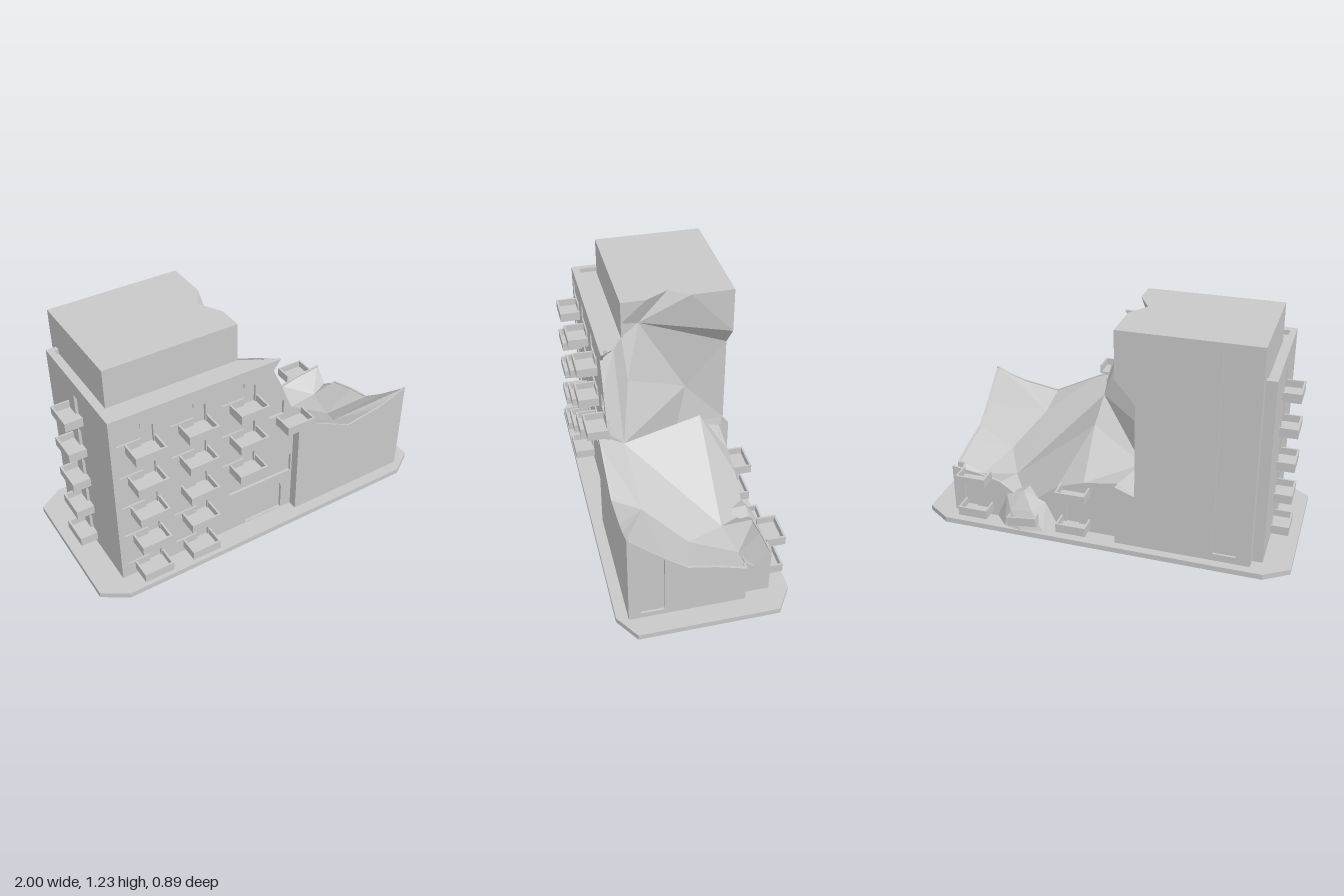
import * as THREE from 'three';

const grey = new THREE.MeshStandardMaterial({ color: 0xc8c8c8, side: THREE.DoubleSide });
grey.name = 'concreteGrey';

const ROWS = [0.06, 0.255, 0.445, 0.64, 0.835];

function toPath(points, Type) {
  return new Type(points.map(([x, y]) => new THREE.Vector2(x, y)));
}

const rect = (x0, x1, y0, y1) => [[x0, y0], [x1, y0], [x1, y1], [x0, y1]];

export function createModel() {
  const model = new THREE.Group();

  function add(name, geometry, parent = model) {
    const mesh = new THREE.Mesh(geometry, grey);
    mesh.name = name;
    parent.add(mesh);
  }

  function box(name, x0, x1, y0, y1, z0, z1, parent = model) {
    const g = new THREE.BoxGeometry(x1 - x0, y1 - y0, z1 - z0);
    g.translate((x0 + x1) / 2, (y0 + y1) / 2, (z0 + z1) / 2);
    add(name, g, parent);
  }

  // Wall with sunken openings; local +z is the outside, turned about y and set on its plane
  function wall(name, outline, openings, depth, turn, x, z) {
    const group = new THREE.Group();
    group.name = name;
    const shape = toPath(outline, THREE.Shape);
    shape.holes = openings.map((o) => toPath(o, THREE.Path));
    const g = new THREE.ExtrudeGeometry(shape, { depth, bevelEnabled: false });
    g.translate(0, 0, -depth);
    add(name + 'Face', g, group);
    if (openings.length) {
      const back = new THREE.ShapeGeometry(toPath(outline, THREE.Shape));
      back.translate(0, 0, -depth);
      add(name + 'Recess', back, group);
    }
    group.rotation.y = turn;
    group.position.set(x, 0, z);
    model.add(group);
  }

  // Open-topped balcony tray, 0.165 wide, projecting along local +z
  function balcony(name, x, y, z, turn, reach = 0.1) {
    const g = new THREE.Group();
    g.name = name;
    box('floor', -0.082, 0.082, 0, 0.012, 0, reach, g);
    box('frontRail', -0.082, 0.082, 0.012, 0.05, reach - 0.01, reach, g);
    for (const s of [-1, 1]) {
      box('sideRail', s * 0.077 - 0.005, s * 0.077 + 0.005, 0.012, 0.05, 0, reach - 0.01, g);
    }
    g.position.set(x, y, z);
    g.rotation.y = turn;
    model.add(g);
    return g;
  }

  // Facets between named points
  function facets(name, P, list) {
    const pos = list.split(',').flatMap((f) => f.trim().split(' ').flatMap((k) => P[k]));
    const g = new THREE.BufferGeometry();
    g.setAttribute('position', new THREE.Float32BufferAttribute(pos, 3));
    g.computeVertexNormals();
    add(name, g);
  }

  // Ground slab with cut corners
  const slab = new THREE.ExtrudeGeometry(toPath([
    [-1, -0.36], [-0.87, -0.445], [0.87, -0.445], [1, -0.36],
    [1, 0.36], [0.87, 0.445], [-0.87, 0.445], [-1, 0.36]], THREE.Shape),
  { depth: 0.03, bevelEnabled: false });
  slab.rotateX(-Math.PI / 2);
  add('groundSlab', slab);

  // Front windows with deeper balcony doors, and their balconies
  const openings = [];
  [[-0.82, 0], [-0.54, 0], [-0.255, 2]].forEach(([x, first], col) => {
    ROWS.slice(first).forEach((y, i) => {
      const d0 = x + 0.125, d1 = x + 0.19;
      if (col === 1 && i === 2) openings.push(rect(d0, d1, y + 0.01, y + 0.115));
      else {
        openings.push([[x, y + 0.055], [d0, y + 0.055], [d0, y + 0.01], [d1, y + 0.01],
          [d1, y + 0.115], [d0, y + 0.115], [d0, y + 0.145], [x, y + 0.145]]);
        box('windowPane', x, d0, y + 0.055, y + 0.145, 0.32, 0.327);
      }
      balcony('frontBalcony', x + 0.122, y, 0.335, 0, 0.11);
    });
  });
  openings.push(rect(0.025, 0.11, 0.695, 0.785));
  balcony('frontBalcony', 0.148, 0.64, 0.335, 0, 0.11);

  // Sunken sign band and arched entrance
  openings.push(rect(-0.215, 0.17, 0.28, 0.395));
  const arch = [[-0.115, 0.035], [0.115, 0.035]];
  for (let i = 0; i <= 8; i++) {
    const a = (i / 8) * Math.PI;
    arch.push([0.115 * Math.cos(a), 0.185 + 0.065 * Math.sin(a)]);
  }
  openings.push(arch);
  wall('frontWall', [[-0.855, 0.03], [0.18, 0.03], [0.18, 0.63], [0.16, 0.7], [0.1, 0.86],
    [0.04, 0.99], [0.08, 1.045], [-0.855, 1.045]], openings, 0.015, 0, 0, 0.335);

  // Left end wall with its column of doors and balconies
  wall('endWall', rect(-0.345, 0.335, 0.03, 1.045),
    ROWS.map((y) => rect(-0.04, 0.035, y + 0.01, y + 0.13)), 0.015, -Math.PI / 2, -0.855, 0);
  ROWS.forEach((y) => balcony('endBalcony', -0.85, y, -0.035, -Math.PI / 2));
  box('endReturn', -0.85, -0.8, 0.03, 1.045, -0.345, -0.315);

  // Roof and parapet
  const roof = new THREE.ShapeGeometry(toPath([[-0.85, -0.33], [0.06, -0.33], [0.02, -0.26],
    [-0.085, -0.2], [-0.8, -0.2], [-0.8, 0.345], [-0.85, 0.345]], THREE.Shape));
  roof.rotateX(-Math.PI / 2);
  roof.translate(0, 1.02, 0);
  add('roof', roof);
  box('frontParapet', -0.85, 0.04, 1.015, 1.045, 0.295, 0.33);
  box('endParapet', -0.85, -0.822, 1.015, 1.045, -0.345, 0.3);

  // Tall stair core
  wall('coreBack', [[0.085, 0.03], [0.8, 0.03], [0.8, 1.23], [0.085, 1.23], [0.085, 0.98],
    [0.19, 0.85], [0.19, 0.33], [0.085, 0.37]],
  [rect(0.605, 0.725, 0.07, 1.18)], 0.012, Math.PI, 0, -0.4);
  box('coreSide', -0.8, -0.79, 0.03, 1.23, -0.4, 0.2);
  box('coreFront', -0.8, -0.085, 1, 1.23, 0.19, 0.2);
  const lid = new THREE.ShapeGeometry(toPath([[-0.8, -0.2], [-0.085, -0.2], [-0.085, -0.065],
    [-0.155, 0.06], [-0.085, 0.17], [-0.085, 0.4], [-0.8, 0.4]], THREE.Shape));
  lid.rotateX(-Math.PI / 2);
  lid.translate(0, 1.23, 0);
  add('coreTop', lid);

  // Wing walls with broken tops
  wall('wingFront', [[0.18, 0.03], [0.895, 0.03], [0.895, 0.575], [0.8, 0.535], [0.72, 0.51],
    [0.51, 0.475], [0.25, 0.605], [0.18, 0.63]], [], 0.01, 0, 0, 0.385);
  box('wingReturn', 0.18, 0.19, 0.03, 0.62, 0.325, 0.38);
  wall('wingSide', [[-0.385, 0.03], [0.21, 0.03], [0.21, 0.245], [0.05, 0.295], [-0.09, 0.325],
    [-0.2, 0.41], [-0.385, 0.575]],
  [[[-0.325, 0.06], [-0.205, 0.06], [-0.205, 0.405], [-0.325, 0.51]]], 0.012, Math.PI / 2, 0.895, 0);
  box('wingStep', 0.855, 0.89, 0.03, 0.245, -0.21, -0.2);
  wall('wingSideBack', [[0.21, 0.03], [0.345, 0.03], [0.345, 0.3], [0.26, 0.21], [0.21, 0.245]],
    [], 0.01, Math.PI / 2, 0.855, 0);
  wall('wingBack', [[-0.855, 0.03], [0.085, 0.03], [0.085, 0.36], [-0.1, 0.33], [-0.25, 0.28],
    [-0.42, 0.14], [-0.58, 0.25], [-0.7, 0.28], [-0.855, 0.3]],
  [rect(-0.79, -0.72, 0.07, 0.2), rect(-0.2, -0.13, 0.07, 0.2)], 0.012, Math.PI, 0, -0.345);
  for (const x of [0.148, 0.708]) {
    for (const y of [0.06, 0.255]) balcony('backBalcony', x, y, -0.34, Math.PI);
  }

  // Torn faces of the tower, and the collapsed floor of the wing with its ridge and valley
  const P = {
    A: [0.09, 0.59, -0.18], B: [0.55, 0.21, -0.18], C: [0.18, 0.55, 0.25],
    a: [-0.185, 0.59, -0.17], V: [-0.15, 0.36, -0.12],
    D: [0.18, 0.63, 0.385], d: [0.18, 0.63, 0.335], E: [-0.13, 1.075, 0.1],
    F1: [0.25, 0.605, 0.385], F2: [0.51, 0.475, 0.385], F3: [0.72, 0.51, 0.385],
    F4: [0.8, 0.535, 0.385], G: [0.895, 0.575, 0.385],
    R1: [0.895, 0.41, 0.2], R2: [0.895, 0.325, 0.09], R3: [0.895, 0.295, -0.05],
    R4: [0.895, 0.245, -0.21], S: [0.855, 0.245, -0.21], R5: [0.855, 0.21, -0.26],
    R6: [0.855, 0.3, -0.345],
    M1: [0.53, 0.4, 0.235], M2: [0.66, 0.25, 0.025], M3: [0.74, 0.2, -0.215],
    H1: [0.7, 0.28, -0.345], H2: [0.58, 0.25, -0.345], H3: [0.42, 0.14, -0.345],
    H4: [0.25, 0.28, -0.345], H5: [0.1, 0.33, -0.345], H6: [-0.085, 0.36, -0.345],
    K1: [-0.085, 0.98, -0.4], K2: [-0.19, 0.85, -0.4], K3: [-0.19, 0.33, -0.4],
    K4: [-0.085, 0.37, -0.4], L1: [-0.085, 0.03, -0.4], L2: [-0.085, 0.03, -0.345],
    N: [-0.155, 1.23, -0.06], P0: [0.08, 1.045, 0.335], P1: [0.04, 0.99, 0.335],
    P2: [0.1, 0.86, 0.335], P3: [0.16, 0.7, 0.335], Q0: [-0.085, 1.03, 0.2],
    Q1: [0.02, 1.03, 0.26], T0: [-0.085, 1.23, 0.2], T1: [-0.085, 1.23, 0.065],
    T2: [-0.085, 1.23, -0.17], T3: [-0.085, 1.23, -0.4], T4: [-0.085, 1.11, 0.2],
    W: [-0.01, 0.81, 0.185],
  };
  facets('tornTower', P, `P0 P1 Q1, P1 P2 Q1, P2 C Q1, P2 P3 C, P3 d C, Q1 C W, Q1 W Q0, Q0 W E,
    W C a, W a E, T4 E Q0, T0 T4 T1, T1 T4 E, T1 E N, E T2 N, E K1 T2, E K2 K1, E a K2, a K3 K2,
    a V K3, C V a, T2 K1 T3, K3 K4 H6, H6 K4 L1, H6 L1 L2`);
  facets('collapsedFloor', P, `d D C, D F1 C, F1 F2 M1, F1 M1 C, C M1 B, C B A, C A V, A H5 V,
    H5 H6 V, H6 K3 V, F2 F3 M1, F3 F4 M1, F4 G M1, G R1 M1, R1 R2 M2, R1 M2 M1, M1 M2 B,
    R2 R3 M2, R3 R4 M2, R4 M3 M2, M2 M3 B, R4 S M3, S R5 M3, R5 R6 M3, R6 H1 M3, H1 H2 M3,
    H2 B M3, H2 H3 B, H3 H4 B, H4 A B, H4 H5 A`);

  // Rubble spilling out of the back wall, with a fallen balcony
  const Z = {
    a: [0.25, 0.03, -0.345], b: [0.31, 0.03, -0.42], c: [0.43, 0.03, -0.44], d: [0.53, 0.03, -0.42],
    e: [0.6, 0.03, -0.345], f: [0.32, 0.17, -0.345], g: [0.38, 0.13, -0.395],
    h: [0.44, 0.22, -0.345], i: [0.5, 0.12, -0.4], j: [0.54, 0.18, -0.345], k: [0.43, 0.2, -0.22],
  };
  facets('rubble', Z, `a b f, b g f, b c g, c i g, c d i, d j i, d e j, f g h, g i h, i j h,
    f h k, h j k`);
  const fallen = balcony('fallenBalcony', 0.42, 0.06, -0.345, Math.PI);
  fallen.rotation.z = 0.12;

  return model;
}
